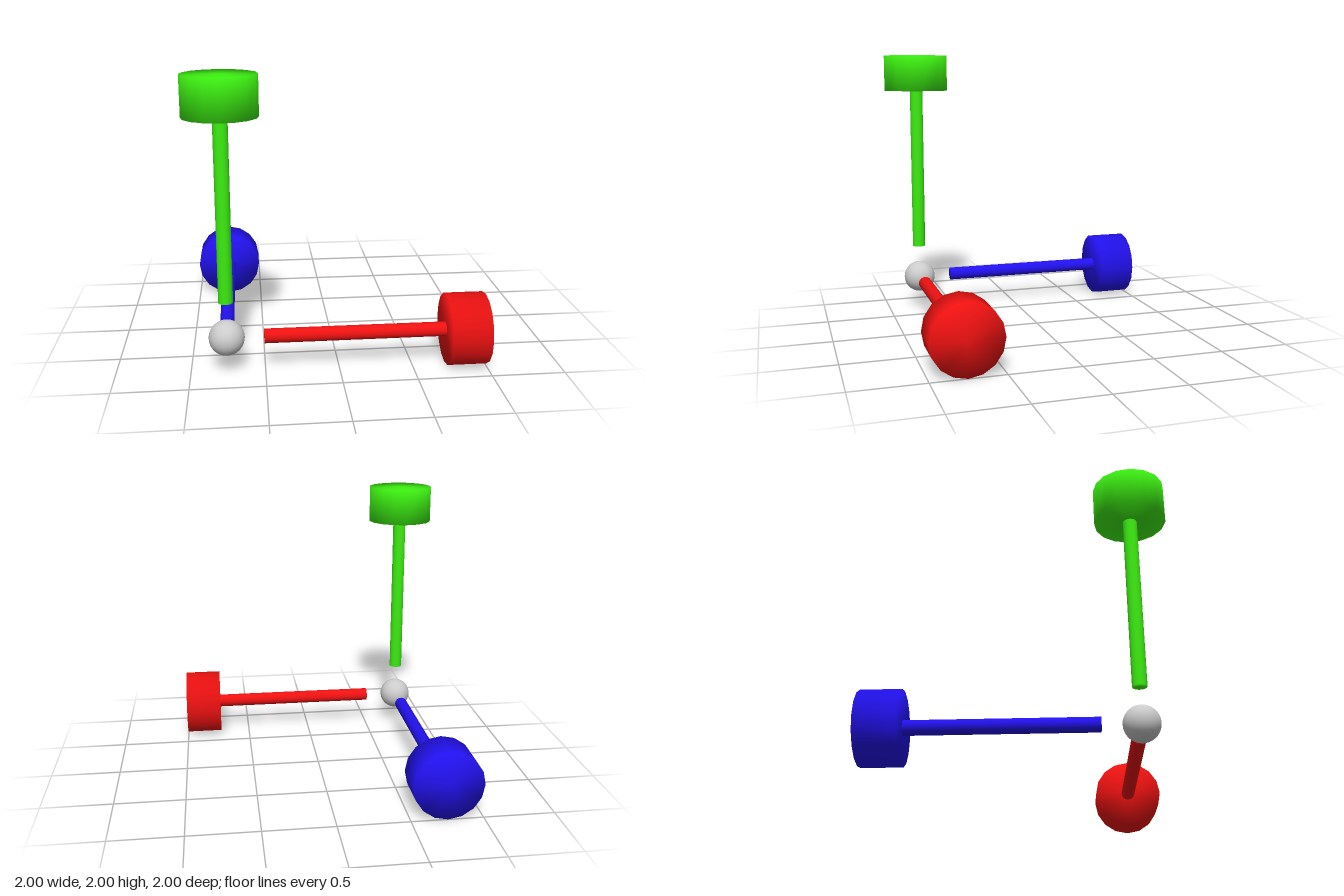
import * as THREE from 'three';
import { mergeVertices } from 'three/addons/utils/BufferGeometryUtils.js';

const KNOB_RADIUS = 0.245;
const ARM_LENGTH = 1.755; // from the hub centre to the outer face of a knob

// Cylinder along +y between two heights, with normals blended over the rims
function softCylinder(radius, from, to, sides) {
  const g = new THREE.CylinderGeometry(radius, radius, to - from, sides);
  g.translate(0, (from + to) / 2, 0);
  g.deleteAttribute('normal');
  g.deleteAttribute('uv');
  const merged = mergeVertices(g);
  merged.computeVertexNormals();
  return merged;
}

function createArm(name, color) {
  const arm = new THREE.Group();
  arm.name = name;
  const material = new THREE.MeshStandardMaterial({ color });
  const shaft = new THREE.Mesh(softCylinder(0.049, 0.25, 1.49, 16), material);
  shaft.name = 'shaft';
  const knob = new THREE.Mesh(softCylinder(KNOB_RADIUS, 1.485, ARM_LENGTH, 16), material);
  knob.name = 'knob';
  arm.add(shaft, knob);
  return arm;
}

export function createModel() {
  const model = new THREE.Group();
  model.name = 'axisHandles';

  // Central ball
  const hub = new THREE.Mesh(
    new THREE.SphereGeometry(0.12, 32, 20),
    new THREE.MeshStandardMaterial({ color: 0xcccccc })
  );
  hub.name = 'hub';

  // Three arms: up, towards the left and towards the back
  const upArm = createArm('upArm', 0x3cee11);
  const sideArm = createArm('sideArm', 0xee1111);
  sideArm.rotation.z = -Math.PI / 2;
  const backArm = createArm('backArm', 0x2211ee);
  backArm.rotation.x = -Math.PI / 2;

  const axes = new THREE.Group();
  axes.name = 'axes';
  axes.add(hub, upArm, sideArm, backArm);
  axes.position.set(-1 + KNOB_RADIUS, KNOB_RADIUS, 1 - KNOB_RADIUS);
  model.add(axes);
  return model;
}
